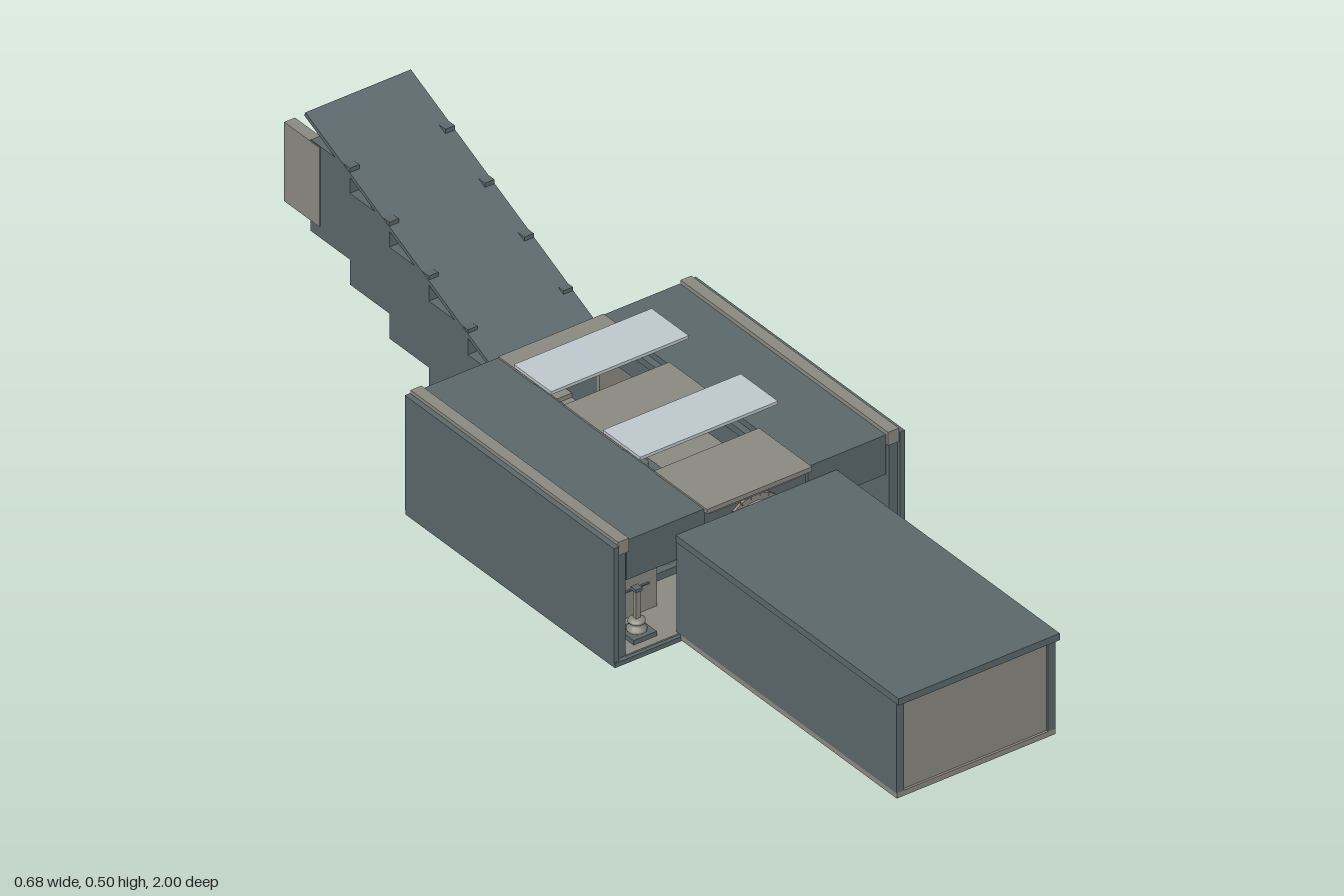
import * as THREE from 'three';

const material = (name, color) => {
  const m = new THREE.MeshStandardMaterial({ color });
  m.name = name;
  return m;
};

export function createModel() {
  const slate = material('slate', 0x5c686b);
  const stone = material('stone', 0x8b8a82);
  const pale = material('pale panel', 0xbfc8cd);
  const model = new THREE.Group();
  model.name = 'undergroundHall';

  const group = (name) => {
    const g = new THREE.Group();
    g.name = name;
    model.add(g);
    return g;
  };
  const add = (parent, name, geometry, mat) => {
    const m = new THREE.Mesh(geometry, mat);
    m.name = name;
    parent.add(m);
    return m;
  };
  // Box given by its limits on each axis
  const box = (parent, name, mat, x0, x1, y0, y1, z0, z1) => {
    const m = add(parent, name, new THREE.BoxGeometry(Math.abs(x1 - x0), y1 - y0, z1 - z0), mat);
    m.position.set((x0 + x1) / 2, (y0 + y1) / 2, (z0 + z1) / 2);
    return m;
  };
  const pair = (parent, name, mat, x0, x1, y0, y1, z0, z1) => {
    for (const s of [-1, 1]) box(parent, name, mat, s * x0, s * x1, y0, y1, z0, z1);
  };

  // Stepped pedestal with a slim square post
  const pedestal = (parent, x, y, z, k = 1) => {
    const g = new THREE.Group();
    g.name = 'pedestal';
    g.position.set(x, y, z);
    g.scale.setScalar(k);
    parent.add(g);
    box(g, 'pedestalFoot', slate, -0.027, 0.027, 0, 0.01, -0.027, 0.027);
    const profile = [[0, 0.01], [0.02, 0.01], [0.02, 0.016], [0.013, 0.022], [0.013, 0.026],
      [0.017, 0.029], [0.017, 0.034], [0.009, 0.038], [0, 0.038]];
    add(g, 'pedestalBase', new THREE.LatheGeometry(profile.map((p) => new THREE.Vector2(...p)), 12), stone);
    box(g, 'pedestalPost', stone, -0.005, 0.005, 0.036, 0.098, -0.005, 0.005);
    box(g, 'pedestalCap', slate, -0.008, 0.008, 0.098, 0.105, -0.008, 0.008);
  };

  // Main hall shell
  const hall = group('hall');
  box(hall, 'hallBase', slate, -0.338, 0.338, 0, 0.01, -0.335, 0.318);
  box(hall, 'hallFloor', stone, -0.306, 0.306, 0.01, 0.013, -0.32, 0.31);
  pair(hall, 'sideWall', slate, 0.326, 0.338, 0.01, 0.264, -0.337, 0.315);
  pair(hall, 'wallLining', slate, 0.306, 0.328, 0.01, 0.242, -0.33, 0.308);
  pair(hall, 'roofRail', stone, 0.301, 0.326, 0.242, 0.272, -0.335, 0.312);
  pair(hall, 'roofBlock', slate, 0.12, 0.301, 0.175, 0.263, -0.337, 0.305);

  // Back wall with doorway to the stairs
  pair(hall, 'backWall', slate, 0.1, 0.33, 0.01, 0.262, -0.337, -0.325);
  pair(hall, 'backWallLining', stone, 0.1, 0.306, 0.01, 0.175, -0.325, -0.318);
  box(hall, 'doorLintel', slate, -0.1, 0.1, 0.2, 0.252, -0.337, -0.325);

  // Alcoves beside the corridor
  pair(hall, 'alcoveWall', stone, 0.16, 0.306, 0.01, 0.175, 0.2, 0.21);
  for (const y of [0.073, 0.14]) {
    pair(hall, 'alcoveLedge', slate, 0.18, 0.306, y - 0.0015, y + 0.0015, 0.21, 0.214);
  }
  for (const s of [-1, 1]) {
    pedestal(hall, s * 0.248, 0.013, 0.265);
    box(hall, 'ceilingLampPlate', slate, s * 0.248 - 0.023, s * 0.248 + 0.023, 0.171, 0.175, 0.24, 0.286);
    box(hall, 'ceilingLamp', slate, s * 0.248 - 0.015, s * 0.248 + 0.015, 0.166, 0.171, 0.25, 0.28);
  }

  // Central ceiling slabs leave two skylights open
  for (const [z0, z1] of [[-0.335, -0.225], [-0.13, 0.055], [0.15, 0.315]]) {
    box(hall, 'ceilingSlab', stone, -0.122, 0.122, 0.257, 0.267, z0, z1);
    box(hall, 'ceilingSlabStep', stone, -0.108, 0.108, 0.248, 0.257, z0 + 0.008, z1 - 0.008);
  }
  for (const z of [0.1, -0.178]) {
    box(hall, 'floatingPanel', pale, -0.16, 0.16, 0.309, 0.316, z - 0.058, z + 0.058);
    for (const s of [-1, 1]) {
      pedestal(hall, s * 0.07, 0.013, z, 1.6);
      box(hall, 'skylightBeam', slate, s * 0.105, s * 0.12, 0.235, 0.25, z - 0.06, z + 0.06);
    }
  }

  // Arch above the corridor roof
  const spandrel = new THREE.Shape();
  spandrel.moveTo(-0.121, 0.175);
  spandrel.lineTo(-0.121, 0.25);
  spandrel.lineTo(0.121, 0.25);
  spandrel.lineTo(0.121, 0.175);
  spandrel.lineTo(0.07, 0.175);
  spandrel.absarc(0, 0.175, 0.07, 0, Math.PI, false);
  spandrel.closePath();
  add(hall, 'archWall', new THREE.ExtrudeGeometry(spandrel, { depth: 0.012, bevelEnabled: false }), slate)
    .position.z = 0.285;
  for (let i = 0; i <= 10; i++) {
    const a = (i / 10) * Math.PI;
    const v = add(hall, 'archStone', new THREE.BoxGeometry(0.014, 0.02, 0.014), stone);
    v.position.set(Math.cos(a) * 0.064, 0.175 + Math.sin(a) * 0.064, 0.296);
    v.rotation.z = a;
  }

  // Entrance corridor
  const corridor = group('corridor');
  box(corridor, 'corridorBase', stone, -0.184, 0.184, 0.002, 0.014, 0.315, 0.99);
  pair(corridor, 'corridorWall', slate, 0.167, 0.185, 0.014, 0.217, 0.305, 0.99);
  box(corridor, 'corridorRoof', slate, -0.187, 0.187, 0.215, 0.23, 0.305, 1);
  box(corridor, 'corridorEnd', stone, -0.167, 0.167, 0.014, 0.215, 0.975, 0.985);

  // Rising staircase: staggered side walls poke through the sloped roof
  const stairs = group('staircase');
  const edges = [-0.337, -0.43, -0.552, -0.675, -0.798, -0.92];
  for (let i = 0; i < 5; i++) {
    const y = 0.018 + i * 0.0555;
    pair(stairs, 'stairWall', slate, 0.1, 0.122, y, y + 0.203, edges[i + 1], edges[i]);
  }
  const steps = 26;
  for (let i = 0; i < steps; i++) {
    const z = -0.337 - (i * 0.583) / steps;
    const y = 0.022 + (i * 0.25) / steps;
    box(stairs, 'stairTread', stone, -0.101, 0.101, y, y + 0.012, z - 0.583 / steps - 0.002, z);
  }
  const from = new THREE.Vector2(-0.337, 0.222);
  const to = new THREE.Vector2(-0.938, 0.491);
  const slope = add(stairs, 'stairRoof', new THREE.BoxGeometry(0.245, 0.009, from.distanceTo(to)), slate);
  slope.position.set(0, (from.y + to.y) / 2, (from.x + to.x) / 2);
  slope.rotation.x = Math.atan2(to.y - from.y, from.x - to.x);

  // Upper landing
  const landing = group('landing');
  pair(landing, 'landingPillar', stone, 0.099, 0.124, 0.265, 0.441, -1, -0.89);
  box(landing, 'landingFloor', stone, -0.1, 0.1, 0.267, 0.282, -0.995, -0.915);
  for (const s of [-1, 1]) pedestal(landing, s * 0.065, 0.282, -0.945, 0.8);

  return model;
}
